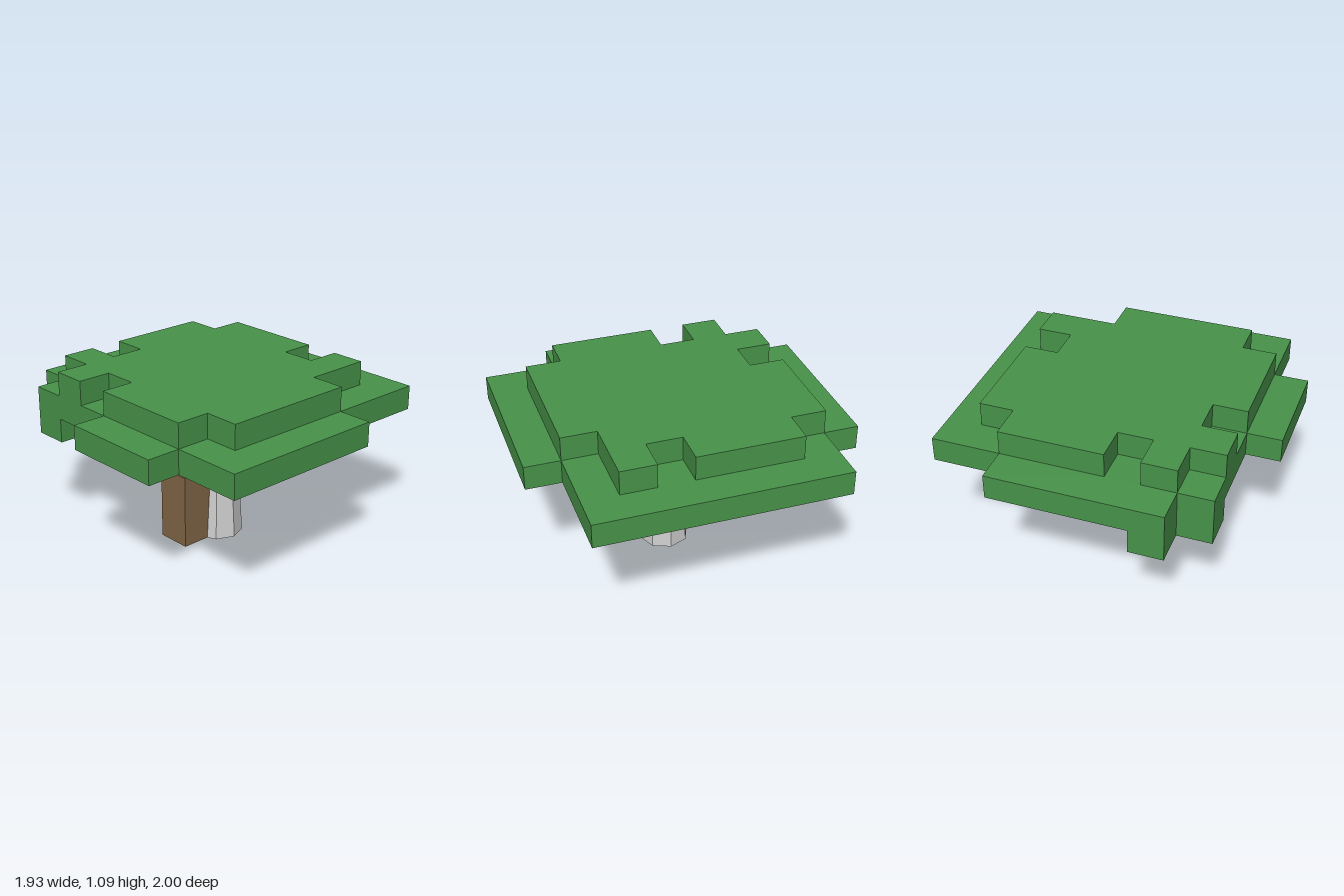
import * as THREE from 'three';

// Grid cell sizes of the block tree
const CX = 0.215, CZ = 2 / 9, H = 0.1545;
const LOW = 0.625, MID = LOW + H, TOP = MID + H;
const gx = (i) => (i - 4.5) * CX;
const gz = (j) => (j - 4.5) * CZ;

const leafGreen = new THREE.MeshStandardMaterial({ color: 0x48934a });
leafGreen.name = 'leafGreen';
const barkBrown = new THREE.MeshStandardMaterial({ color: 0x816546 });
barkBrown.name = 'barkBrown';
const paleGrey = new THREE.MeshStandardMaterial({ color: 0xcfcfcf, flatShading: true });
paleGrey.name = 'paleGrey';

function add(parent, name, geometry, material) {
  const mesh = new THREE.Mesh(geometry, material);
  mesh.name = name;
  parent.add(mesh);
  return mesh;
}

// Slab of leaves from a stepped outline in grid corners
function slab(parent, name, corners, y) {
  const shape = new THREE.Shape(corners.map(([i, j]) => new THREE.Vector2(gx(i), -gz(j))));
  const geometry = new THREE.ExtrudeGeometry(shape, { depth: H, bevelEnabled: false });
  geometry.rotateX(-Math.PI / 2);
  add(parent, name, geometry, leafGreen).position.y = y;
}

// Block filling one grid cell between two heights
function block(parent, name, i, j, y0, y1, material) {
  const mesh = add(parent, name, new THREE.BoxGeometry(CX, y1 - y0, CZ), material);
  mesh.position.set(gx(i + 0.5), (y0 + y1) / 2, gz(j + 0.5));
}

export function createModel() {
  const model = new THREE.Group();
  model.name = 'blockTree';

  const canopy = new THREE.Group();
  canopy.name = 'canopy';
  model.add(canopy);

  // Notched top layer
  slab(canopy, 'canopyTop', [
    [2, 1], [3, 1], [3, 2], [4, 2], [4, 1], [7, 1], [7, 2], [8, 2], [8, 5], [7, 5], [7, 6], [8, 6],
    [8, 7], [6, 7], [6, 8], [2, 8], [2, 7], [1, 7], [1, 4], [2, 4], [2, 3], [1, 3], [1, 2], [2, 2],
  ], TOP);

  // Middle layer: two stepped pieces around a hollow
  slab(canopy, 'canopyRimLeft', [[7, 1], [9, 1], [9, 8], [6, 8], [6, 7], [7, 7]], MID);
  slab(canopy, 'canopyRimRight', [
    [2, 0], [7, 0], [7, 1], [6, 1], [6, 2], [5, 2], [5, 1], [4, 1], [4, 2], [3, 2], [3, 8],
    [6, 8], [6, 9], [1, 9], [1, 7], [0, 7], [0, 4], [1, 4], [1, 1], [2, 1],
  ], MID);

  // Leaf blocks inside the hollow: above the trunk and in front of it
  for (const [i, j] of [[4, 4], [4, 6]]) block(canopy, 'innerLeaf', i, j, MID, TOP, leafGreen);

  // Leaf blocks hanging below
  for (const [i, j] of [[7, 6], [5, 1], [7, 2], [2, 4], [1, 1], [2, 0]]) {
    block(canopy, 'hangingLeaf', i, j, LOW, MID, leafGreen);
  }

  // Stepped trunk
  block(model, 'lowerTrunk', 3, 4, 0, 0.47, barkBrown);
  block(model, 'upperTrunk', 4, 4, 0.47, MID, barkBrown);

  // Tapered eight-sided post beside the trunk
  const post = add(model, 'post', new THREE.CylinderGeometry(0.138, 0.16, 0.385, 8), paleGrey);
  post.position.set(0, 0.1925, 0.055);

  return model;
}
